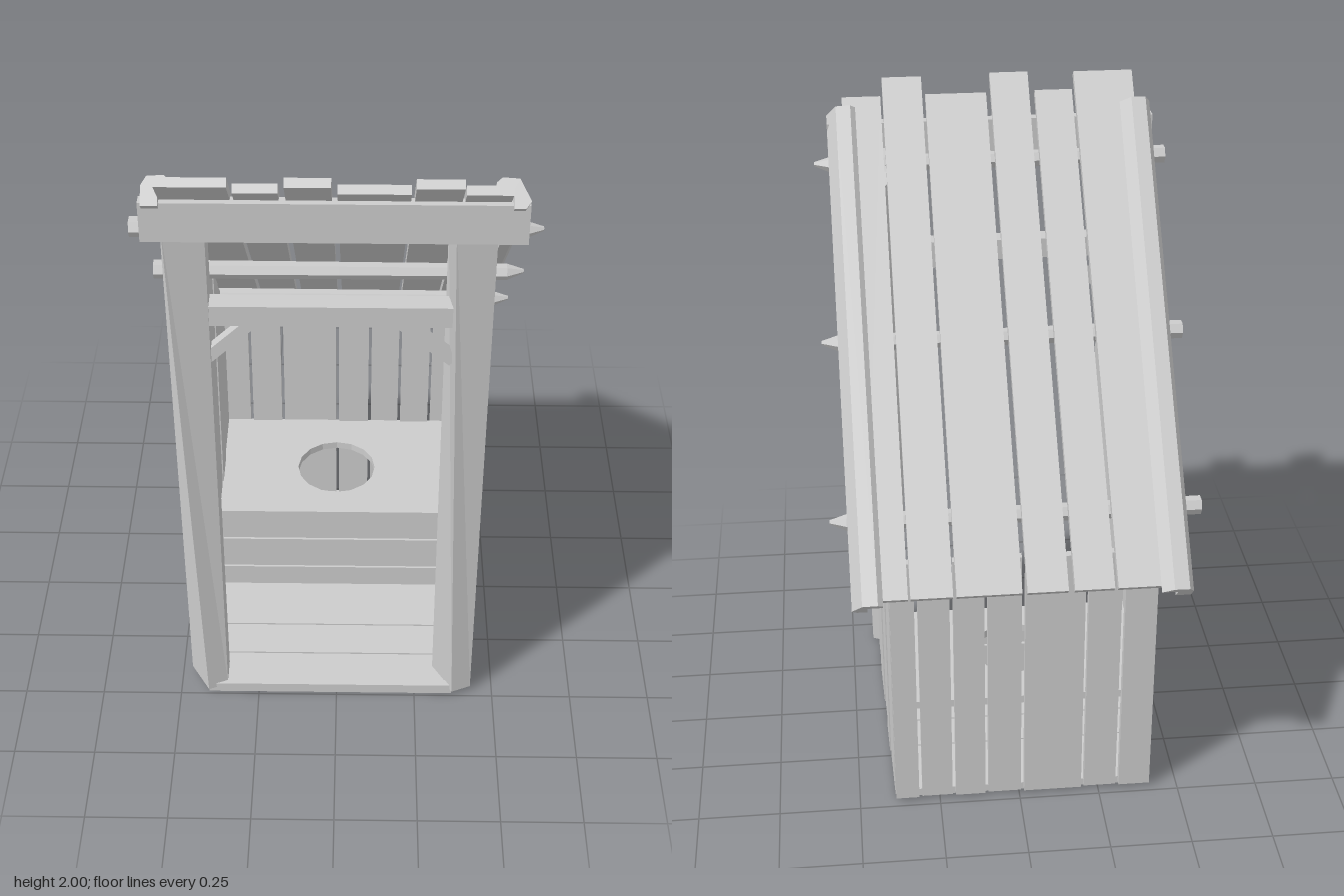
import * as THREE from 'three';

export function createModel() {
  const wood = new THREE.MeshStandardMaterial({ color: 0xcccccc, flatShading: true });
  wood.name = 'grey wood';
  const model = new THREE.Group();
  model.name = 'plankHut';

  const add = (parent, name, geometry) => {
    const mesh = new THREE.Mesh(geometry, wood);
    mesh.name = name;
    parent.add(mesh);
    return mesh;
  };
  const addGroup = (name) => {
    const group = new THREE.Group();
    group.name = name;
    model.add(group);
    return group;
  };
  // Box given by its limits on each axis
  const slab = (parent, name, x0, x1, y0, y1, z0, z1) => {
    const g = new THREE.BoxGeometry(x1 - x0, y1 - y0, z1 - z0);
    g.translate((x0 + x1) / 2, (y0 + y1) / 2, (z0 + z1) / 2);
    return add(parent, name, g);
  };
  const outline = (points) => new THREE.Shape(points.map(([a, b]) => new THREE.Vector2(a, b)));
  const extrude = (shape, depth) =>
    new THREE.ExtrudeGeometry(shape, { depth, bevelEnabled: false, curveSegments: 8 });
  // Move every vertex by a rule
  const reshape = (g, rule) => {
    const p = g.attributes.position;
    const v = new THREE.Vector3();
    for (let i = 0; i < p.count; i++) {
      rule(v.fromBufferAttribute(p, i));
      p.setXYZ(i, v.x, v.y, v.z);
    }
    g.computeVertexNormals();
    return g;
  };
  const underRoof = (z) => z + 1.335;

  // Floor boards and front sill
  const floor = addGroup('floor');
  [[-0.46, -0.245], [-0.24, -0.115], [-0.11, 0.015], [0.02, 0.215], [0.22, 0.345], [0.35, 0.465]].forEach(([a, b], i) =>
    slab(floor, 'floorBoard', -0.405, 0.38, 0.005 + 0.004 * (i % 2), 0.03, a, b));
  slab(floor, 'sill', -0.41, 0.37, 0, 0.035, 0.465, 0.49);

  // Side walls: vertical boards cut to the roof slope, drawn in toward the back on the left
  const sideBoards = [[0.22, 0.36], [0.025, 0.215], [-0.11, 0.01], [-0.24, -0.12], [-0.45, -0.25]];
  for (const [wall, x, taper] of [['leftWall', 0.375, 0.025], ['rightWall', -0.418, 0]]) {
    const group = addGroup(wall);
    sideBoards.forEach(([a, b], i) => {
      const low = 0.006 + 0.006 * (i % 2);
      const g = extrude(outline([[-a, low], [-a, underRoof(a)], [-b, underRoof(b)], [-b, low]]), 0.025);
      g.rotateY(Math.PI / 2);
      g.translate(x + 0.003 * (i % 2), 0, 0);
      reshape(g, (v) => { v.x += taper * v.z; });
      add(group, 'sideBoard', g);
    });
  }

  // Back wall
  const backWall = addGroup('backWall');
  [[-0.412, -0.315], [-0.305, -0.205], [-0.195, -0.015], [-0.005, 0.097], [0.107, 0.2], [0.21, 0.305], [0.315, 0.387]]
    .forEach(([a, b], i) => {
      const shift = 0.005 * (i % 2);
      slab(backWall, 'backBoard', a, b, 0.012, 0.88, -0.478 + shift, -0.453 + shift);
    });

  // Two alike front posts: five-sided, the front ridge twisting toward one edge at the top
  for (const [name, x] of [['leftPost', 0.37], ['rightPost', -0.41]]) {
    const g = extrude(outline([[-0.06, -0.4], [0, -0.5], [0.06, -0.475], [0.06, -0.39], [0, -0.36]]), 1);
    g.rotateX(-Math.PI / 2);
    reshape(g, (v) => {
      if (v.y > 0.5) {
        if (v.z > 0.49) v.x -= 0.045;
        if (v.x < -0.04) v.x -= 0.008;
        v.y = Math.min(underRoof(v.z), 1.8);
      } else v.y = 0.018;
    });
    g.translate(x, 0, 0);
    add(model, name, g);
  }

  // Lintel, door header and braces
  slab(model, 'lintel', -0.515, 0.505, 1.76, 1.88, 0.495, 0.53);
  slab(model, 'doorHeader', -0.36, 0.32, 1.445, 1.51, 0.41, 0.47);
  const brace = (name, x0, y0, x1, y1) => {
    const m = add(model, name, new THREE.BoxGeometry(Math.hypot(x1 - x0, y1 - y0) + 0.02, 0.035, 0.035));
    m.position.set((x0 + x1) / 2, (y0 + y1) / 2, 0.44);
    m.rotation.z = Math.atan2(y1 - y0, x1 - x0);
  };
  brace('rightBrace', -0.36, 1.325, -0.235, 1.445);
  brace('leftBrace', 0.32, 1.325, 0.18, 1.445);

  // Round roof poles with one pointed end
  for (const [y, z] of [[1.762, 0.46], [1.345, 0.048], [0.96, -0.36]]) {
    const g = new THREE.CylinderGeometry(0.024, 0.028, 1.1, 6, 6);
    g.rotateZ(-Math.PI / 2);
    reshape(g, (v) => {
      if (v.x > 0.5) { v.y = v.y * 0.25 + 0.004; v.z *= 0.25; }
      else if (v.x > 0.3) v.x = 0.5;
    });
    g.translate(0, y, z);
    add(model, 'roofPole', g);
  }

  // Bench with a round hole and a boarded front
  const bench = addGroup('bench');
  const seat = outline([[-0.4, -0.03], [0.38, -0.03], [0.38, 0.455], [-0.4, 0.455]]);
  const hole = new THREE.Path();
  hole.absarc(-0.01, 0.2, 0.13, 0, Math.PI * 2, true);
  seat.holes.push(hole);
  const seatGeometry = extrude(seat, 0.025);
  seatGeometry.rotateX(-Math.PI / 2);
  seatGeometry.translate(0, 0.34, 0);
  add(bench, 'seat', seatGeometry);
  [[0.03, 0.108], [0.115, 0.235], [0.242, 0.34]].forEach(([a, b]) =>
    slab(bench, 'benchFrontBoard', -0.4, 0.38, a, b, 0, 0.024));

  // Roof: local z runs up the slope, local y is the outward normal
  const roof = addGroup('roof');
  roof.position.y = 1.405;
  roof.rotation.x = -Math.PI / 4;
  [[-0.46, -0.275, 0.836], [-0.265, -0.148, 0.775], [-0.13, -0.01, 0.84],
    [0.005, 0.195, 0.772], [0.205, 0.328, 0.834], [0.335, 0.455, 0.77]]
    .forEach(([a, b, top]) => slab(roof, 'roofPlank', a, b, -0.026, 0, -0.82, top));

  // Edge trims: cap over the planks with a skirt outside, each bevelled on its left flank
  const trims = [
    ['leftTrim', -0.008, [[0.46, -0.05], [0.49, -0.05], [0.505, -0.03], [0.475, 0.03], [0.43, 0.033],
      [0.415, 0.02], [0.415, 0.001], [0.46, 0.001]]],
    ['rightTrim', 0.012, [[-0.46, -0.05], [-0.46, 0.001], [-0.412, 0.001], [-0.445, 0.033], [-0.49, 0.03],
      [-0.505, 0.005], [-0.505, -0.05]]],
  ];
  for (const [name, shift, section] of trims) {
    const g = extrude(outline(section), 1.565);
    g.translate(0, 0, -0.84);
    // Trims draw slightly together toward the low end
    reshape(g, (v) => { if (v.z < 0) v.x += shift; });
    add(roof, name, g);
  }

  return model;
}
